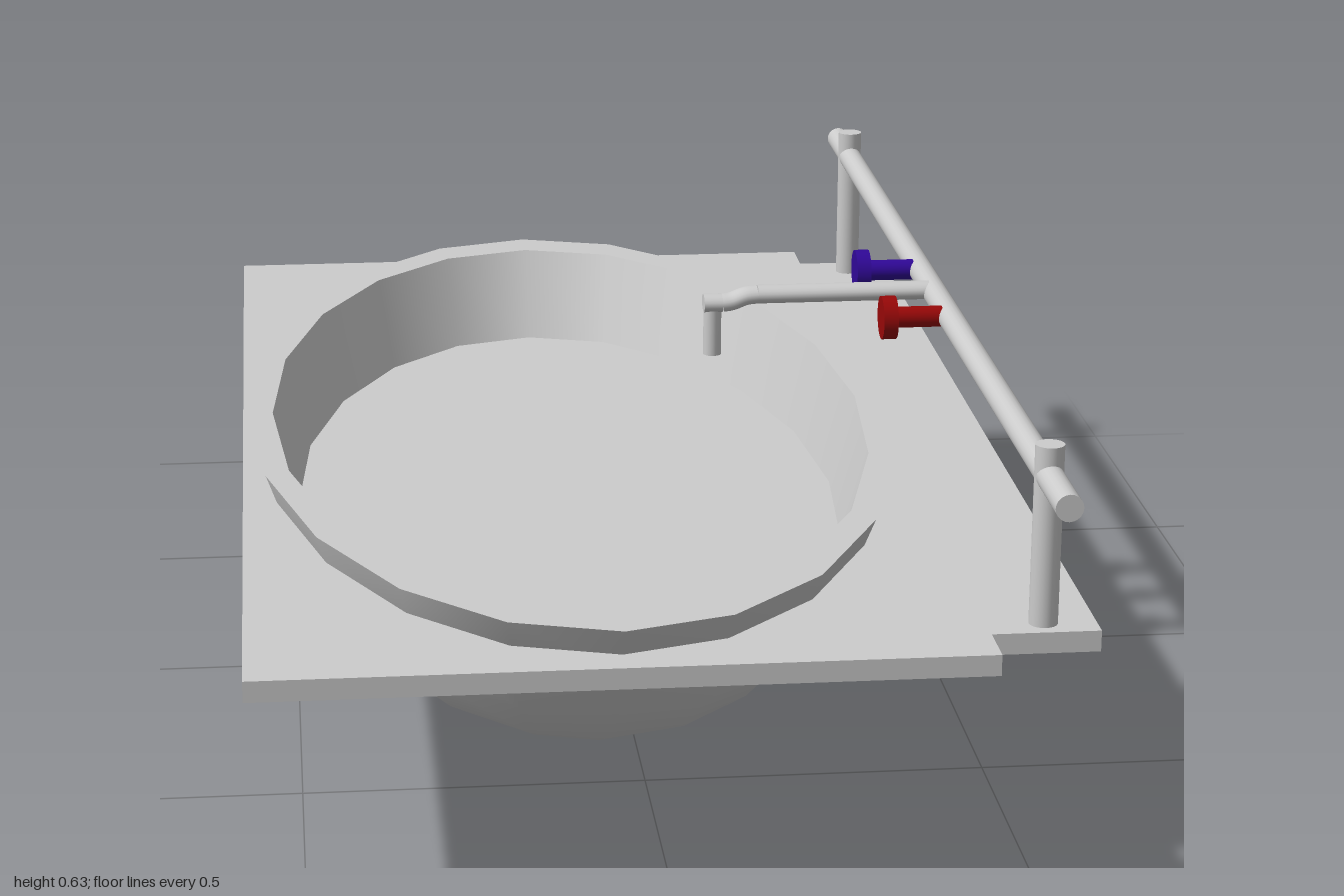
import * as THREE from 'three';

const grey = new THREE.MeshStandardMaterial({ color: 0xcccccc });
const greyBothSides = new THREE.MeshStandardMaterial({ color: 0xcccccc, side: THREE.DoubleSide });
const red = new THREE.MeshStandardMaterial({ color: 0x980808 });
const blue = new THREE.MeshStandardMaterial({ color: 0x300898 });

const SIDES = 20;
const BOWL = { x: -0.074, z: -0.004, stretch: 1.968 };
const RAIL = { x: 0.502, y: 0.586 };

function add(parent, name, geometry, material = grey) {
  const mesh = new THREE.Mesh(geometry, material);
  mesh.name = name;
  parent.add(mesh);
  return mesh;
}

// Cylinder between two points
function rod(parent, name, from, to, radius, material = grey) {
  const a = new THREE.Vector3(...from), b = new THREE.Vector3(...to);
  const dir = b.clone().sub(a);
  const mesh = add(parent, name, new THREE.CylinderGeometry(radius, radius, dir.length(), 20), material);
  mesh.position.copy(a).add(b).multiplyScalar(0.5);
  mesh.quaternion.setFromUnitVectors(new THREE.Vector3(0, 1, 0), dir.normalize());
}

// Counter slab with a narrower strip behind the basin and an oval cut-out
function buildCounter(group) {
  const outline = [
    [-0.575, -1], [0.425, -1], [0.425, -0.92], [0.575, -0.92],
    [0.575, 0.903], [0.425, 0.903], [0.425, 0.977], [-0.575, 0.977],
  ];
  const shape = new THREE.Shape(outline.map(([x, z]) => new THREE.Vector2(x, z)));
  const hole = [];
  for (let i = 0; i < SIDES; i++) {
    const a = (i / SIDES) * Math.PI * 2;
    hole.push(new THREE.Vector2(
      BOWL.x + 0.46 * Math.sin(a), BOWL.z + 0.46 * BOWL.stretch * Math.cos(a)));
  }
  shape.holes.push(new THREE.Path(hole));
  const geometry = new THREE.ExtrudeGeometry(shape, { depth: 0.03, bevelEnabled: false });
  geometry.rotateX(Math.PI / 2);
  add(group, 'counter', geometry).position.y = 0.375;
}

// Oval basin: round lathed surfaces stretched along z
function buildBasin(group) {
  const basin = new THREE.Group();
  basin.name = 'basin';
  basin.position.set(BOWL.x, 0, BOWL.z);
  basin.scale.z = BOWL.stretch;
  group.add(basin);
  const profiles = {
    basinShell: [[0, 0.002], [0.075, 0.008], [0.152, 0.027], [0.223, 0.055], [0.294, 0.101],
      [0.361, 0.16], [0.414, 0.237], [0.466, 0.352], [0.49, 0.42]],
    basinRim: [[0.49, 0.42], [0.454, 0.42]],
    basinWall: [[0.454, 0.42], [0.416, 0.28]],
    basinFloor: [[0.416, 0.28], [0, 0.28]],
  };
  for (const [name, points] of Object.entries(profiles)) {
    const curve = points.map(([r, y]) => new THREE.Vector2(r, y));
    add(basin, name, new THREE.LatheGeometry(curve, SIDES), greyBothSides);
  }
}

// Rail on two posts
function buildRail(group) {
  rod(group, 'rail', [RAIL.x, RAIL.y, -1], [RAIL.x, RAIL.y, 1], 0.019);
  for (const z of [-0.867, 0.867]) {
    rod(group, 'railPost', [RAIL.x, 0.37, z], [RAIL.x, 0.63, z], 0.02);
  }
}

// Spout: a flattened arm with a small drop, ending in a round downward nozzle
function buildSpout(group) {
  const spout = new THREE.Group();
  spout.name = 'spout';
  spout.position.z = -0.009;
  group.add(spout);
  const arm = new THREE.Group();
  arm.name = 'spoutArm';
  arm.scale.z = 1.4;
  spout.add(arm);
  rod(arm, 'armStart', [0.225, 0.589, 0], [0.5, 0.589, 0], 0.014);
  const bend = new THREE.CatmullRomCurve3([[0.225, 0.589], [0.207, 0.587], [0.185, 0.579], [0.17, 0.577]]
    .map(([x, y]) => new THREE.Vector3(x, y, 0)));
  add(arm, 'armBend', new THREE.TubeGeometry(bend, 10, 0.014, 20));
  rod(arm, 'armEnd', [0.141, 0.577, 0], [0.17, 0.577, 0], 0.014);
  rod(spout, 'spoutNozzle', [0.155, 0.495, 0], [0.155, 0.577, 0], 0.014);
}

// Tap handle: stem from the rail with a disc knob
function buildTap(group, name, z, material) {
  const tap = new THREE.Group();
  tap.name = name;
  group.add(tap);
  rod(tap, 'tapStem', [0.415, RAIL.y, z], [0.49, RAIL.y, z], 0.016, material);
  rod(tap, 'tapKnob', [0.397, RAIL.y, z], [0.419, RAIL.y, z], 0.033, material);
}

export function createModel() {
  const group = new THREE.Group();
  group.name = 'washbasin';
  buildCounter(group);
  buildBasin(group);
  buildRail(group);
  buildSpout(group);
  buildTap(group, 'hotTap', 0.124, red);
  buildTap(group, 'coldTap', -0.136, blue);
  return group;
}
